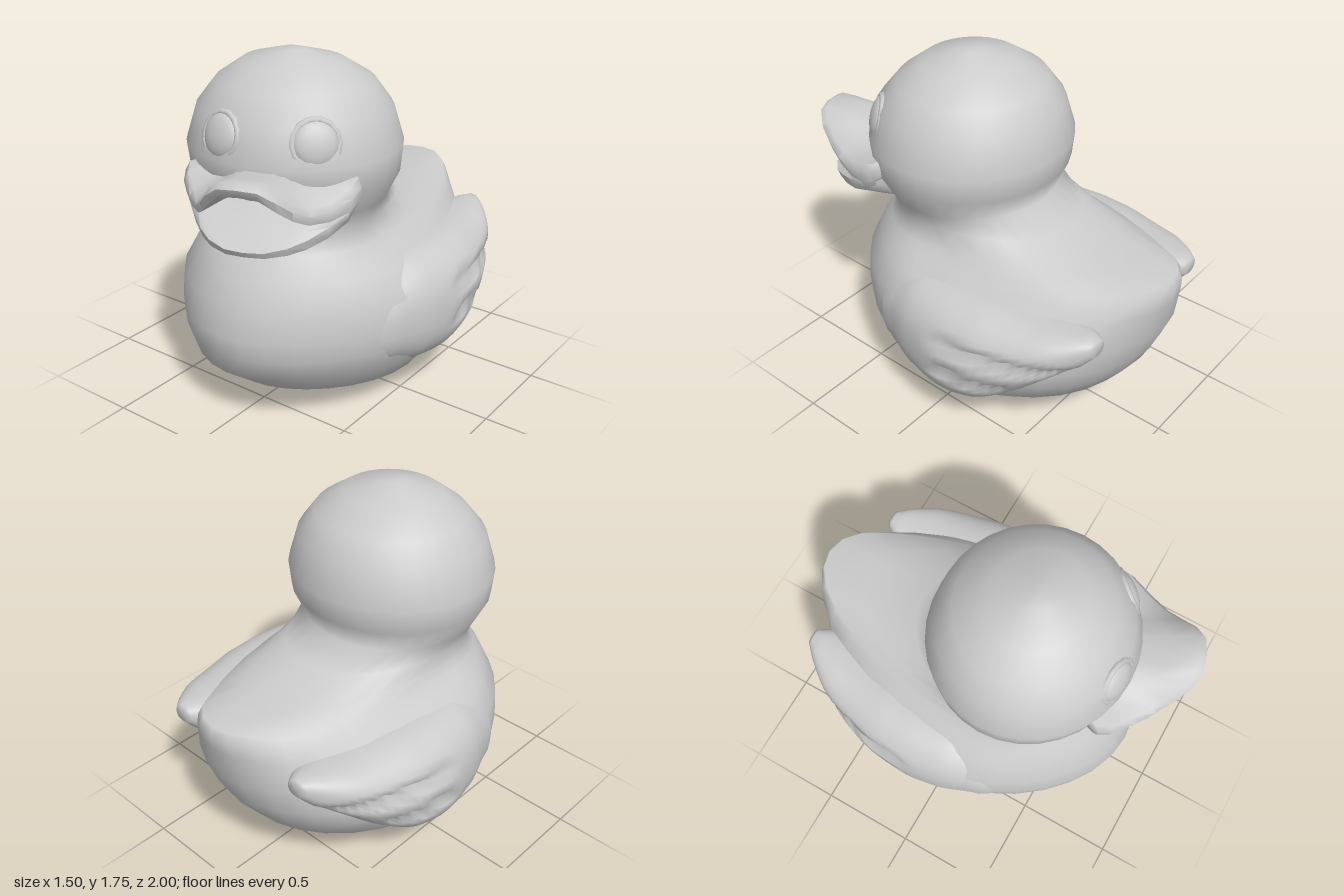
import * as THREE from 'three';
import { toCreasedNormals } from 'three/addons/utils/BufferGeometryUtils.js';

const grey = new THREE.MeshStandardMaterial({ color: 0xcccccc });
const smooth = THREE.MathUtils.smoothstep;

// Closed skin over a list of rings with equal point counts, fan caps at both ends
function loft(rings) {
  const n = rings[0].length, pos = [], idx = [];
  const mid = (r) => r.reduce((a, p) => a.add(p), new THREE.Vector3()).divideScalar(n);
  const pts = [...rings.flat(), mid(rings[0]), mid(rings.at(-1))];
  pts.forEach((p) => pos.push(p.x, p.y, p.z));
  const last = (rings.length - 1) * n, c0 = rings.length * n;
  for (let j = 0; j < n; j++) {
    const k = (j + 1) % n;
    for (let i = 0; i < last; i += n) idx.push(i + j, i + k, i + n + k, i + j, i + n + k, i + n + j);
    idx.push(c0, k, j, c0 + 1, last + j, last + k);
  }
  // Turn the faces outward if the enclosed volume is negative
  let volume = 0;
  const cross = new THREE.Vector3();
  for (let i = 0; i < idx.length; i += 3) {
    volume += pts[idx[i]].dot(cross.crossVectors(pts[idx[i + 1]], pts[idx[i + 2]]));
  }
  if (volume < 0) idx.reverse();
  const g = new THREE.BufferGeometry();
  g.setAttribute('position', new THREE.Float32BufferAttribute(pos, 3));
  g.setIndex(idx);
  g.computeVertexNormals();
  return g;
}

function add(parent, name, geometry) {
  const mesh = new THREE.Mesh(geometry, grey);
  mesh.name = name;
  parent.add(mesh);
  return mesh;
}

// Body, tail, neck and head in one skin: [y, half width, front z, back z]
function bodyGeometry() {
  const levels = [
    [0.005, 0.04, 0.04, -0.14], [0.03, 0.28, 0.28, -0.24], [0.08, 0.42, 0.48, -0.4],
    [0.15, 0.54, 0.6, -0.55], [0.28, 0.64, 0.77, -0.76], [0.4, 0.68, 0.81, -0.85],
    [0.5, 0.69, 0.82, -0.9], [0.65, 0.66, 0.79, -0.96], [0.77, 0.57, 0.73, -0.99],
    [0.84, 0.5, 0.68, -1.0], [0.89, 0.46, 0.64, -0.98], [0.93, 0.435, 0.61, -0.72],
    [1.0, 0.43, 0.59, -0.4], [1.07, 0.455, 0.62, -0.21], [1.2, 0.52, 0.71, -0.265],
    [1.33, 0.53, 0.73, -0.28], [1.5, 0.475, 0.68, -0.235], [1.62, 0.385, 0.58, -0.15],
    [1.71, 0.25, 0.46, 0.0], [1.76, 0.06, 0.3, 0.18],
  ];
  const sides = 32;
  return loft(levels.map(([y, w, front, back]) => {
    const zc = THREE.MathUtils.clamp((y - 0.5) * 0.5, 0, 0.22);
    return Array.from({ length: sides }, (_, j) => {
      const a = (j / sides) * Math.PI * 2, c = Math.cos(a);
      const z = zc + c * (c > 0 ? front - zc : zc - back);
      // narrower breast, upturned tail
      const pinch = y < 0.8 && c > 0 ? 1 - 0.14 * c * c : 1;
      const lift = y > 0.75 && y < 0.95 ? 0.06 * smooth(-z, 0.72, 0.96) : 0;
      return new THREE.Vector3(Math.sin(a) * w * pinch, y + lift, z);
    });
  }));
}

// Wing: one rounded mass swept to a high tip, with two feather grooves on the outside
function wingGeometry(side) {
  // [x, y, z, rx, ry]
  const stations = [
    [0.5, 0.48, 0.42, 0.05, 0.1], [0.42, 0.5, 0.28, 0.23, 0.23], [0.45, 0.505, 0.08, 0.27, 0.295],
    [0.47, 0.5, -0.12, 0.28, 0.305], [0.46, 0.525, -0.32, 0.28, 0.28], [0.43, 0.59, -0.52, 0.25, 0.205],
    [0.42, 0.665, -0.68, 0.185, 0.13], [0.41, 0.715, -0.8, 0.1, 0.08], [0.4, 0.745, -0.86, 0.045, 0.04],
  ];
  const spine = new THREE.CatmullRomCurve3(stations.map(([x, y, z]) => new THREE.Vector3(x, y, z)));
  const radii = new THREE.CatmullRomCurve3(stations.map((s) => new THREE.Vector3(s[3], s[4], 0)));
  const round = (v) => Math.sign(v) * Math.abs(v) ** 0.85;
  const groove = (y, at, z, from, to) =>
    Math.exp(-(((y - at) / 0.022) ** 2)) * smooth(-z, from, from + 0.12) * (1 - smooth(-z, to - 0.08, to));
  const steps = 32, sides = 48;
  return loft(Array.from({ length: steps + 1 }, (_, i) => {
    const p = spine.getPoint(i / steps), r = radii.getPoint(i / steps);
    return Array.from({ length: sides }, (_, j) => {
      const a = (j / sides) * Math.PI * 2, c = Math.cos(a);
      const y = p.y + round(Math.sin(a)) * r.y;
      const cut = c > 0 ? groove(y, 0.62, p.z, 0.08, 0.8) + groove(y, 0.45, p.z, 0.08, 0.55) : 0;
      return new THREE.Vector3(side * (p.x + round(c) * r.x - 0.05 * cut), y, p.z);
    });
  }));
}

// Bill half: rows are [side, forward, edge top y, edge bottom y], centre to corner
function billGeometry(rows, rootTop, rootBottom) {
  const half = rows.slice(1);
  const all = [...half.map(([s, ...r]) => [-s, ...r]).reverse(), ...rows];
  return toCreasedNormals(loft(all.map(([s, f, top, bottom]) => {
    const at = (m, y) => new THREE.Vector3(s * m, y, f * m);
    return [
      at(0.5, rootTop), at(0.8, THREE.MathUtils.lerp(rootTop, top, 0.55)),
      at(0.96, top), at(1, (top + bottom) / 2 + 0.01), at(0.98, bottom),
      at(0.8, THREE.MathUtils.lerp(rootBottom, bottom, 0.55)), at(0.5, rootBottom),
    ];
  })), 1);
}

export function createModel() {
  const duck = new THREE.Group();
  duck.name = 'duck';
  add(duck, 'bodyAndHead', bodyGeometry());
  add(duck, 'leftWing', wingGeometry(1));
  add(duck, 'rightWing', wingGeometry(-1));

  // Face, turned a little to the model's left
  const face = new THREE.Group();
  face.name = 'face';
  face.position.z = 0.2;
  face.rotation.y = THREE.MathUtils.degToRad(20);
  duck.add(face);

  add(face, 'upperBill', billGeometry([
    [0, 0.83, 1.36, 1.305], [0.09, 0.82, 1.355, 1.295], [0.16, 0.78, 1.31, 1.235], [0.21, 0.72, 1.25, 1.18],
    [0.26, 0.65, 1.21, 1.14], [0.33, 0.56, 1.21, 1.13], [0.4, 0.46, 1.255, 1.15], [0.42, 0.39, 1.28, 1.18],
    [0.4, 0.35, 1.27, 1.21],
  ], 1.3, 1.2));
  add(face, 'lowerBill', billGeometry([
    [0, 0.77, 1.045, 1.01], [0.09, 0.76, 1.05, 1.01], [0.18, 0.71, 1.07, 1.015], [0.25, 0.64, 1.1, 1.025],
    [0.32, 0.55, 1.14, 1.05], [0.385, 0.46, 1.18, 1.1], [0.41, 0.38, 1.23, 1.16],
  ], 1.19, 1.0));

  // Eyes: thin rim around a shallow dome
  for (const side of [1, -1]) {
    const eye = new THREE.Group();
    eye.name = side > 0 ? 'leftEye' : 'rightEye';
    eye.position.set(side * 0.22, 1.435, 0.425);
    eye.rotation.set(-0.27, side * 0.48, 0, 'YXZ');
    add(eye, 'eyeRim', new THREE.TorusGeometry(0.107, 0.016, 8, 14));
    add(eye, 'eyeball', new THREE.SphereGeometry(0.104, 18, 12)).scale.z = 0.4;
    face.add(eye);
  }
  return duck;
}
